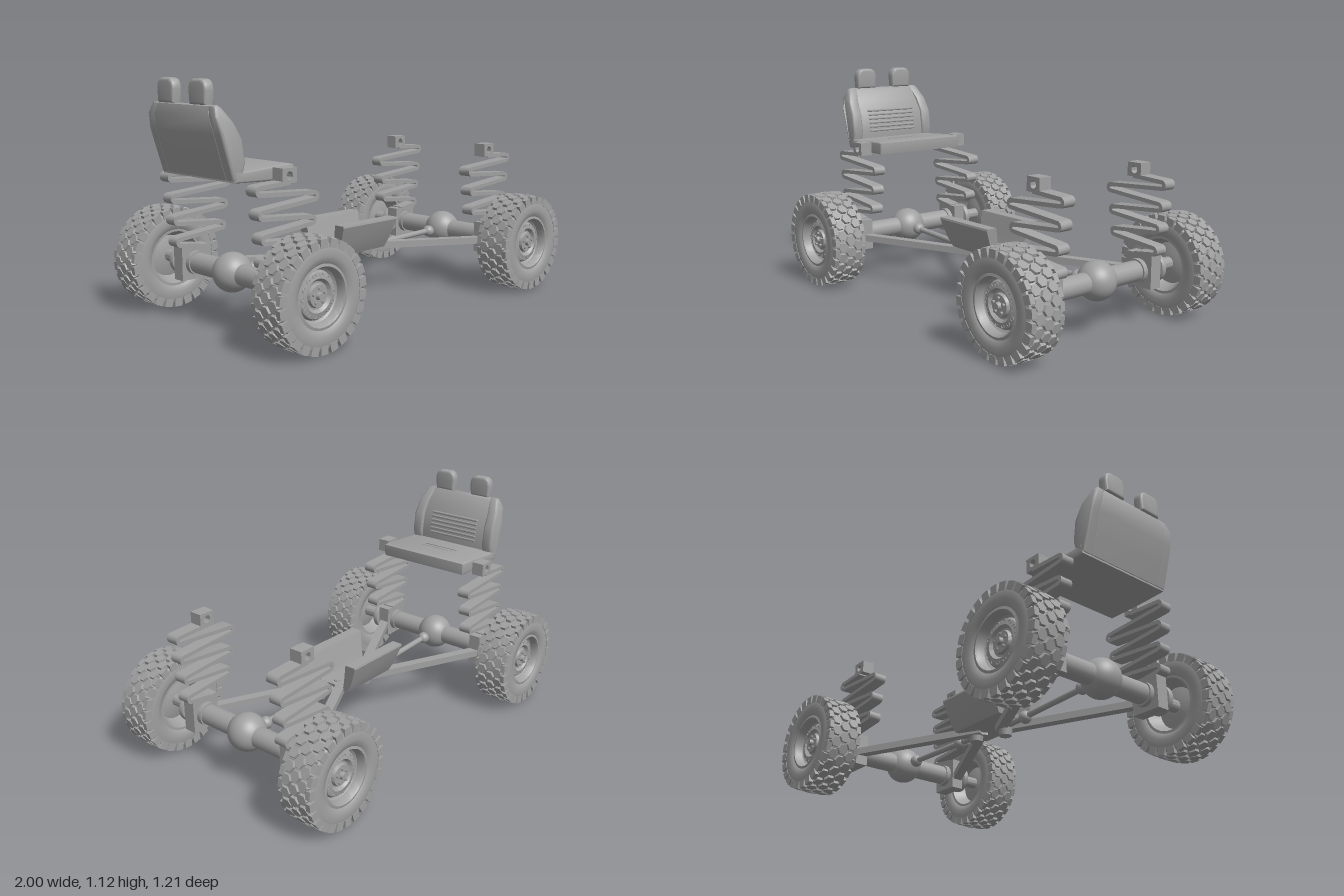
import * as THREE from 'three';
import { mergeGeometries, toCreasedNormals } from 'three/addons/utils/BufferGeometryUtils.js';
import { RoundedBoxGeometry } from 'three/addons/geometries/RoundedBoxGeometry.js';

const grey = new THREE.MeshStandardMaterial({ color: 0xa0a0a0, side: THREE.DoubleSide });
grey.name = 'grey';

const V = (x, y, z) => new THREE.Vector3(x, y, z);

function add(parent, name, geometry, x = 0, y = 0, z = 0) {
  const mesh = new THREE.Mesh(geometry, grey);
  mesh.name = name;
  mesh.position.set(x, y, z);
  parent.add(mesh);
  return mesh;
}

const toShape = (pts) => new THREE.Shape(pts.map(([x, y]) => new THREE.Vector2(x, y)));

// Extrusion centred on its depth, with an optional bevel inside the outline
function extrude(shape, depth, bevel = 0) {
  const g = new THREE.ExtrudeGeometry(shape, {
    depth: depth - 2 * bevel, bevelEnabled: bevel > 0, bevelSize: bevel,
    bevelThickness: bevel, bevelOffset: -bevel, bevelSegments: 3, curveSegments: 10,
  });
  g.translate(0, 0, -depth / 2 + bevel);
  return toCreasedNormals(g, 0.7);
}

const lathe = (pts, segments = 48) =>
  toCreasedNormals(new THREE.LatheGeometry(pts.map(([r, y]) => new THREE.Vector2(r, y)), segments), 0.6)
    .rotateX(Math.PI / 2);

// Straight bar or rod between two points
function beam(parent, name, a, b, w, h) {
  const len = a.distanceTo(b);
  const g = h ? new THREE.BoxGeometry(w, h, len) : new THREE.CylinderGeometry(w, w, len, 20).rotateX(Math.PI / 2);
  const m = add(parent, name, g, ...a.clone().lerp(b, 0.5).toArray());
  m.lookAt(b);
  return m;
}

// Staggered hexagonal tread blocks with shoulder lugs
function treadGeometry() {
  const parts = [], count = 26;
  for (let i = 0; i < count; i++) {
    const a = (i / count) * Math.PI * 2, half = Math.PI / count;
    for (const row of [-1, 0, 1]) {
      parts.push(new THREE.CylinderGeometry(0.025, 0.029, 0.024, 6).toNonIndexed()
        .translate(0, row ? 0.233 : 0.235, row * 0.046).rotateZ(a + (row ? half : 0)));
    }
    for (const side of [-1, 1]) {
      parts.push(new THREE.BoxGeometry(0.04, 0.038, 0.024).toNonIndexed()
        .translate(0, 0.223, side * 0.076).rotateZ(a));
    }
  }
  const g = mergeGeometries(parts);
  g.computeVertexNormals();
  return g;
}

const tyreProfile = [[0.132, -0.07], [0.145, -0.083], [0.17, -0.088], [0.2, -0.087], [0.222, -0.08], [0.233, -0.06],
  [0.235, 0], [0.233, 0.06], [0.222, 0.08], [0.2, 0.087], [0.17, 0.088], [0.145, 0.083], [0.132, 0.07]];
const rimProfile = [[0, -0.025], [0.05, -0.025], [0.1, -0.01], [0.117, -0.05], [0.127, -0.077], [0.14, -0.077],
  [0.14, 0.077], [0.127, 0.08], [0.12, 0.07], [0.116, 0.04], [0.106, 0.032], [0.098, 0.045], [0.072, 0.052],
  [0.06, 0.038], [0.052, 0.038], [0.047, 0.052], [0, 0.052]];

function makeWheel(geo) {
  const wheel = new THREE.Group();
  wheel.name = 'wheel';
  add(wheel, 'tyre', geo.tyre);
  add(wheel, 'tread', geo.tread);
  add(wheel, 'rim', geo.rim);
  add(wheel, 'hubCap', geo.cap, 0, 0, 0.058);
  for (let i = 0; i < 5; i++) {
    const a = (i / 5) * Math.PI * 2 + Math.PI / 2;
    add(wheel, 'wheelNut', geo.nut, 0.033 * Math.cos(a), 0.033 * Math.sin(a), 0.056);
  }
  for (let i = 0; i < 14; i++) {
    const a = (i / 14) * Math.PI * 2;
    add(wheel, 'rimVent', geo.vent, 0.086 * Math.cos(a), 0.086 * Math.sin(a), 0.048);
  }
  return wheel;
}

// Folded ribbon spring drawn for the +x axle; turns are [x extent, y, side]
function springGeometry() {
  const turns = [[0.892, 0.665, 1], [0.535, 0.615, -1], [0.878, 0.563, 1], [0.552, 0.511, -1],
    [0.865, 0.459, 1], [0.565, 0.407, -1], [0.855, 0.355, 1]];
  const t = 0.0095, r = 0.015, path = [new THREE.Vector2(0.7, 0.688)];
  for (const [x, y, s] of turns) {
    for (let k = 0; k <= 8; k++) {
      const a = Math.PI / 2 - (k / 8) * Math.PI;
      path.push(new THREE.Vector2(x - s * (r + t) + s * r * Math.cos(a), y + r * Math.sin(a)));
    }
  }
  path.push(new THREE.Vector2(0.72, 0.325));
  const left = [], right = [];
  path.forEach((p, i) => {
    const d = path[Math.min(i + 1, path.length - 1)].clone().sub(path[Math.max(i - 1, 0)]).normalize();
    left.push([p.x - d.y * t, p.y + d.x * t]);
    right.unshift([p.x + d.y * t, p.y - d.x * t]);
  });
  return extrude(toShape([...left, ...right]), 0.065);
}

function eyeGeometry() {
  const s = toShape([[-0.04, -0.033], [0.04, -0.033], [0.04, 0.033], [-0.04, 0.033]]);
  s.holes.push(new THREE.Path().absarc(0, 0, 0.018, 0, Math.PI * 2, true));
  return extrude(s, 0.065);
}

function makeAxle(geo) {
  const axle = new THREE.Group();
  axle.name = 'axle';
  beam(axle, 'axleTube', V(0.75, 0.25, -0.3), V(0.75, 0.25, 0.3), 0.05);
  add(axle, 'differential', new THREE.SphereGeometry(0.092, 40, 28), 0.75, 0.25, 0);
  for (const s of [1, -1]) {
    const end = new THREE.Group();
    end.name = s > 0 ? 'frontAxleEnd' : 'rearAxleEnd';
    beam(end, 'collar', V(0.75, 0.25, 0.255), V(0.75, 0.25, 0.285), 0.057);
    add(end, 'springClamp', new THREE.BoxGeometry(0.15, 0.16, 0.065), 0.75, 0.25, 0.3125);
    add(end, 'hubFlange', geo.flange, 0.75, 0.25, 0);
    add(end, 'spring', geo.spring, 0, 0, 0.3125);
    add(end, 'springEye', geo.eye, 0.705, 0.718, 0.3125);
    const wheel = makeWheel(geo);
    wheel.position.set(0.75, 0.248, 0.515);
    end.add(wheel);
    end.scale.z = s;
    axle.add(end);
  }
  return axle;
}

function makeSeat() {
  const seat = new THREE.Group();
  seat.name = 'benchSeat';
  const cushion = [[-0.92, 0.697], [-0.75, 0.69], [-0.6, 0.69], [-0.595, 0.72], [-0.597, 0.75], [-0.62, 0.756],
    [-0.7, 0.752], [-0.86, 0.742], [-0.92, 0.75]];
  add(seat, 'cushion', extrude(toShape(cushion), 0.52, 0.008));

  // Backrest panel and side bolsters narrow towards the top
  const back = (bulge) => toShape([[-0.925, 0.705], [-0.88, 0.715], [-0.876 + bulge, 0.78], [-0.892 + bulge, 0.88],
    [-0.93 + bulge, 0.95], [-0.958, 1.01], [-0.972, 1.02], [-0.99, 1.015], [-1, 0.97], [-0.985, 0.9], [-0.955, 0.8]]);
  const narrow = (g) => {
    const p = g.attributes.position;
    for (let i = 0; i < p.count; i++) {
      const k = Math.max(0, p.getY(i) - 0.9) / 0.12;
      p.setZ(i, p.getZ(i) * (1 - 0.14 * k * k));
    }
    return toCreasedNormals(g, 0.7);
  };
  add(seat, 'backrest', narrow(extrude(back(0), 0.42, 0.005)));
  for (const s of [1, -1]) {
    add(seat, 'bolster', narrow(extrude(back(0.014), 0.06, 0.012).translate(0, 0, s * 0.23)));
  }
  // Stitched ribs
  for (let i = 0; i < 6; i++) {
    const y = 0.785 + i * 0.022;
    add(seat, 'backRib', new RoundedBoxGeometry(0.014, 0.013, 0.3, 2, 0.005), -0.878 - (y - 0.78) * 0.17, y, 0);
  }
  for (const x of [-0.77, -0.74]) add(seat, 'cushionRib', new THREE.BoxGeometry(0.006, 0.006, 0.2), x, 0.748, 0);

  // Headrests
  const h = new THREE.Shape();
  h.moveTo(-0.056, 0);
  h.lineTo(0.056, 0);
  h.lineTo(0.061, 0.06);
  h.quadraticCurveTo(0.058, 0.107, 0.02, 0.107);
  h.lineTo(-0.02, 0.107);
  h.quadraticCurveTo(-0.058, 0.107, -0.061, 0.06);
  const headrest = extrude(h, 0.05, 0.012).rotateY(Math.PI / 2);
  for (const s of [1, -1]) add(seat, 'headrest', headrest, -0.975, 1.018, s * 0.114);
  return seat;
}

// Open tray with flared walls and slanted ends
function trayGeometry() {
  const half = [[0.1, 0.245], [0.13, 0.3], [0.165, 0.395], [0.163, 0.405], [0.108, 0.405], [0.105, 0.395],
    [0.085, 0.3], [0.075, 0.265]];
  const g = extrude(toShape([...half, ...half.map(([z, y]) => [-z, y]).reverse()]), 0.38).rotateY(Math.PI / 2);
  const p = g.attributes.position;
  for (let i = 0; i < p.count; i++) p.setX(i, p.getX(i) * (1 - 0.75 * (0.405 - p.getY(i))) - 0.01);
  return toCreasedNormals(g, 0.5);
}

export function createModel() {
  const model = new THREE.Group();
  model.name = 'buggyChassis';
  const geo = {
    tyre: lathe(tyreProfile), tread: treadGeometry(), rim: lathe(rimProfile),
    cap: new THREE.CylinderGeometry(0.014, 0.018, 0.022, 20).rotateX(Math.PI / 2),
    nut: new THREE.CylinderGeometry(0.007, 0.007, 0.014, 6).rotateX(Math.PI / 2),
    vent: new THREE.TorusGeometry(0.009, 0.0025, 6, 14),
    flange: lathe([[0.04, 0.34], [0.046, 0.365], [0.068, 0.37], [0.072, 0.38], [0.07, 0.393], [0.055, 0.4],
      [0.03, 0.402], [0.03, 0.5]], 32),
    spring: springGeometry(), eye: eyeGeometry(),
  };
  const right = makeAxle(geo), left = makeAxle(geo);
  left.scale.x = -1;
  left.position.x = 0.008;
  model.add(right, left, makeSeat());
  add(model, 'centreTray', trayGeometry());

  // Trailing links, pivots and drive shafts for each axle
  for (const s of [1, -1]) {
    const yIn = s > 0 ? 0.25 : 0.218, px = s > 0 ? 0.115 : -0.105;
    for (const z of [1, -1]) {
      beam(model, 'trailingLink', V(s * 0.07, yIn, z * 0.005), V(s * 0.7, 0.235, z * 0.325), 0.048, 0.034);
    }
    add(model, 'pivot', new THREE.CylinderGeometry(0.038, 0.03, 0.055, 24), px, yIn - 0.018, 0);
    add(model, 'pivotBolt', new THREE.CylinderGeometry(0.017, 0.017, 0.01, 20), s > 0 ? 0.115 : -0.135, 0.266, 0);
    const sy = s > 0 ? 0.235 : 0.222;
    beam(model, 'driveShaft', V(px, sy, 0), V(s * 0.7, 0.248, 0), 0.015);
    add(model, 'innerJoint', new THREE.SphereGeometry(0.031, 24, 16), s * 0.25, sy + 0.002, 0);
    add(model, 'outerJoint', new THREE.SphereGeometry(0.031, 24, 16), s * 0.63, 0.245, 0);
  }
  return model;
}
